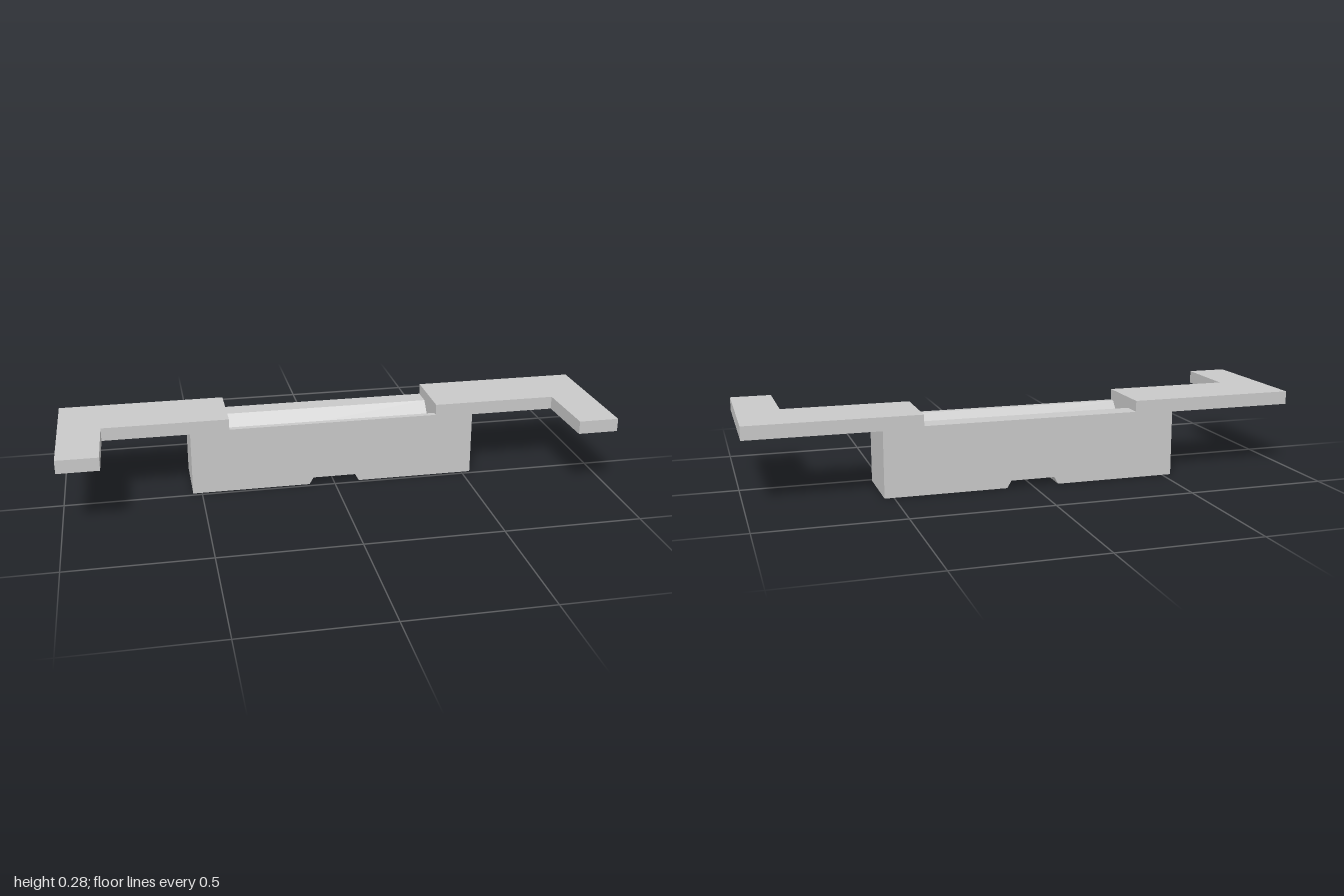
import * as THREE from 'three';

const BACK = -0.252, FRONT = -0.014;   // depth range of the body
const PLATE_BOTTOM = 0.236, TOP = 0.284;
const GROOVE_X = 0.39, GROOVE_Y = 0.165;

function extrude(points, depth) {
  const shape = new THREE.Shape(points.map(([x, y]) => new THREE.Vector2(x, y)));
  return new THREE.ExtrudeGeometry(shape, { depth, bevelEnabled: false });
}

export function createModel() {
  const group = new THREE.Group();
  const grey = new THREE.MeshStandardMaterial({ color: 0xc8c8c8 });
  grey.name = 'light grey';

  const add = (name, geometry) => {
    const mesh = new THREE.Mesh(geometry, grey);
    mesh.name = name;
    group.add(mesh);
  };

  // Main block: front outline with a shallow notch below and a pocket above
  const half = [
    [0.08, 0.026], [0.095, 0], [0.533, 0], [0.533, PLATE_BOTTOM],
    [GROOVE_X, PLATE_BOTTOM], [GROOVE_X, GROOVE_Y],
  ];
  const mirrored = half.map(([x, y]) => [-x, y]).reverse();
  const body = extrude([...half, ...mirrored], FRONT - BACK);
  body.translate(0, 0, BACK);
  add('body', body);

  // V-shaped groove between two rims, profile given as depth and height
  const groove = extrude([
    [BACK, GROOVE_Y], [FRONT, GROOVE_Y], [FRONT, 0.244], [-0.036, 0.244],
    [-0.104, GROOVE_Y + 0.001], [-0.177, 0.244], [BACK, 0.244],
  ], 2 * GROOVE_X);
  groove.rotateY(-Math.PI / 2).translate(GROOVE_X, 0, 0);
  add('grooveRims', groove);

  // L-shaped wing plates with forward arms
  for (const [side, name] of [[1, 'leftWing'], [-1, 'rightWing']]) {
    const wing = extrude([
      [GROOVE_X, BACK], [1, BACK], [1, 0.252], [0.853, 0.252],
      [0.848, FRONT], [GROOVE_X, FRONT],
    ].map(([x, z]) => [side * x, z]), TOP - PLATE_BOTTOM);
    wing.rotateX(Math.PI / 2).translate(0, TOP, 0);
    add(name, wing);
  }

  return group;
}
